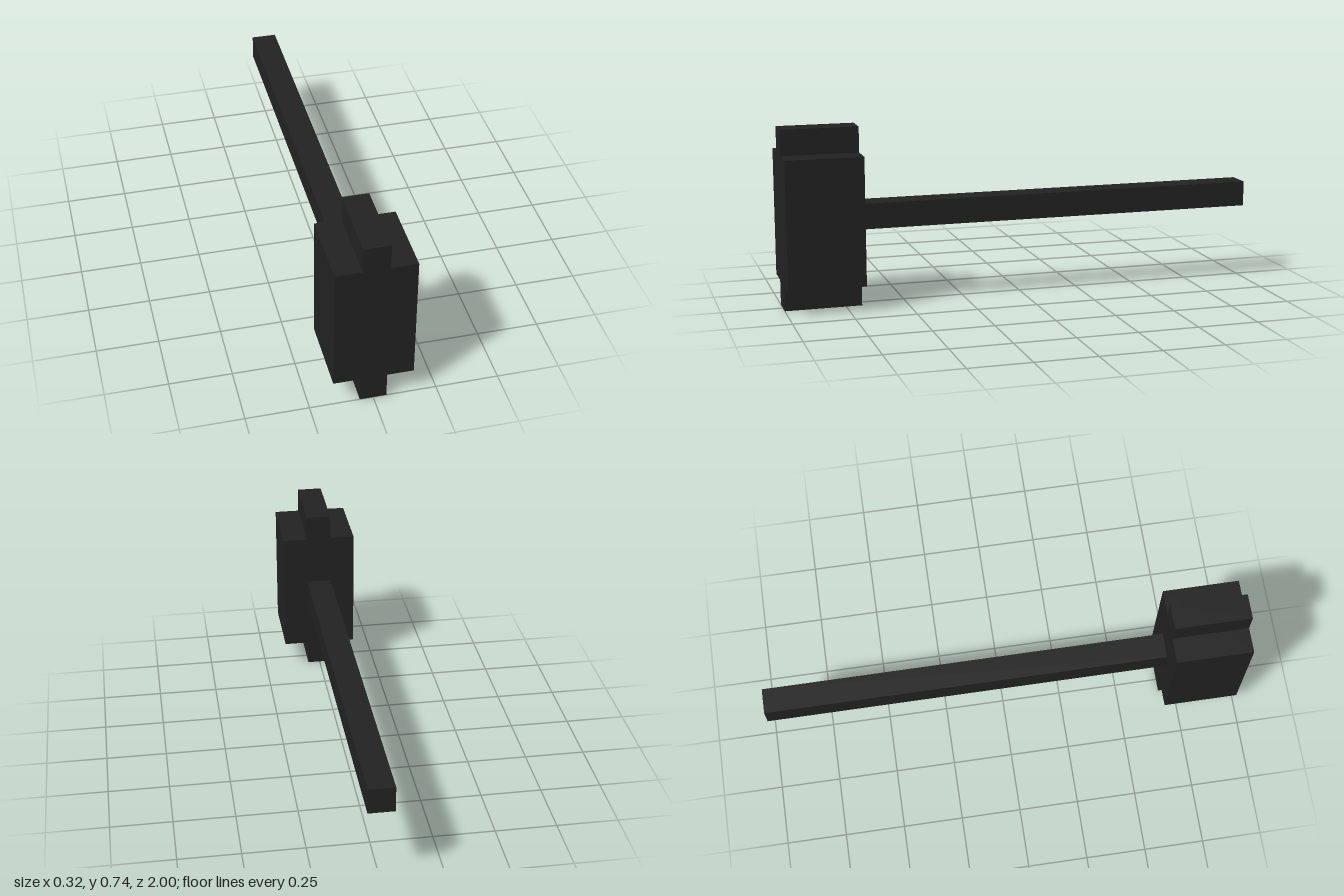
import * as THREE from 'three';

// One grid unit: the model is 19 units long
const U = 2 / 19;

export function createModel() {
  const model = new THREE.Group();
  model.name = 'mallet';
  const charcoal = new THREE.MeshStandardMaterial({ color: 0x222222 });
  charcoal.name = 'charcoal';

  // Box sized and centred in grid units
  const addBox = (name, [w, h, d], [x, y, z]) => {
    const mesh = new THREE.Mesh(new THREE.BoxGeometry(w * U, h * U, d * U), charcoal);
    mesh.name = name;
    mesh.position.set(x * U, y * U, z * U);
    model.add(mesh);
  };

  // Head block with a narrow ridge above and below
  addBox('head', [3, 5, 3], [0, 3.5, 8]);
  addBox('topRidge', [1, 1, 3], [0, 6.5, 8]);
  addBox('bottomRidge', [1, 1, 3], [0, 0.5, 8]);

  // Long square handle running back from the head
  addBox('handle', [1, 1, 16], [0, 3.5, -1.5]);

  return model;
}
